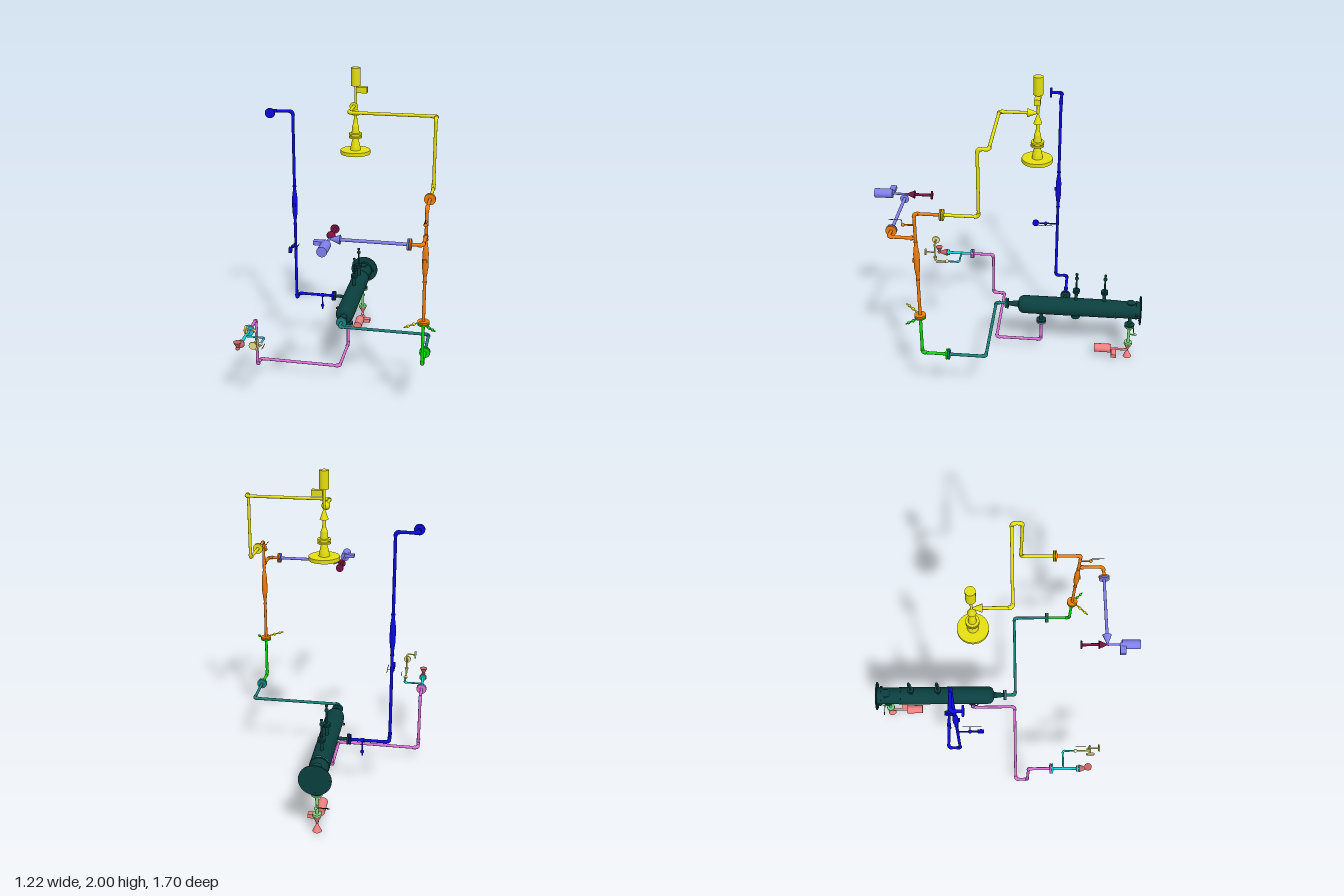
import * as THREE from 'three';

const V = (p) => new THREE.Vector3(...p);
const COLORS = {
  vessel: 0x0b3f3f, teal: 0x1a7f7a, green: 0x08d808, orange: 0xf07c0a, yellow: 0xe6e010,
  blue: 0x0a0add, pink: 0xda70d6, cyan: 0x20d0d8, violet: 0x8080ee, wine: 0x7a1040,
  salmon: 0xf08080, red: 0xc86464, lightGreen: 0x80d880, pale: 0xe8de80, black: 0x151515,
};

export function createModel() {
  const root = new THREE.Group();
  root.name = 'pipingSkid';
  const mats = {};
  for (const key in COLORS) mats[key] = new THREE.MeshStandardMaterial({ color: COLORS[key] });
  let parent = root;
  const section = (name) => {
    parent = new THREE.Group();
    parent.name = name;
    root.add(parent);
  };
  const add = (name, geo, color) => {
    const mesh = new THREE.Mesh(geo, mats[color]);
    mesh.name = name;
    parent.add(mesh);
    return mesh;
  };
  // tapered cylinder running from a to b
  const rod = (name, a, b, r0, color, r1 = r0, sides = 20) => {
    const d = V(b).sub(V(a));
    const m = add(name, new THREE.CylinderGeometry(r1, r0, d.length(), sides), color);
    m.position.copy(V(a)).addScaledVector(d, 0.5);
    m.quaternion.setFromUnitVectors(new THREE.Vector3(0, 1, 0), d.normalize());
    return m;
  };
  const ball = (name, p, r, color) => add(name, new THREE.SphereGeometry(r, 16, 12), color).position.set(...p);
  const box = (name, p, s, color) => add(name, new THREE.BoxGeometry(...s), color).position.set(...p);
  // disc centred on p along an axis
  const disc = (name, p, axis, r, t, color) => {
    const a = [...p], b = [...p];
    a[axis] -= t / 2;
    b[axis] += t / 2;
    return rod(name, a, b, r, color, r, 28);
  };
  // two mating flanges, one on each side of p
  const joint = (p, axis, c0, c1, r = 0.033) => [c0, c1].forEach((c, i) => {
    const q = [...p];
    q[axis] += i ? 0.0065 : -0.0065;
    disc('flange', q, axis, r, 0.01, c);
  });
  // pipe run with thickened elbow fittings at the corners
  const pipe = (name, pts, color, r = 0.0095, bend = 0.022) => {
    const v = pts.map(V);
    let start = v[0];
    for (let i = 1; i < v.length; i++) {
      const inDir = v[i].clone().sub(v[i - 1]).normalize();
      if (i === v.length - 1) { rod(name, start.toArray(), v[i].toArray(), r, color); break; }
      const outDir = v[i + 1].clone().sub(v[i]).normalize();
      const e0 = v[i].clone().addScaledVector(inDir, -bend), e1 = v[i].clone().addScaledVector(outDir, bend);
      rod(name, start.toArray(), e0.toArray(), r, color);
      const curve = new THREE.QuadraticBezierCurve3(e0, v[i], e1);
      add('elbow', new THREE.TubeGeometry(curve, 8, r * 1.25, 14), color);
      [[e0, inDir], [e1, outDir]].forEach(([e, d]) => rod('elbowCollar',
        e.clone().addScaledVector(d, -0.003).toArray(), e.clone().addScaledVector(d, 0.003).toArray(), r * 1.3, color));
      start = e1;
    }
  };
  // inline meter: a swollen body between two reducers
  const meter = (x, y, z, side, color) => {
    const prof = [[0, -0.1], [0.011, -0.1], [0.018, -0.045], [0.018, 0.045], [0.011, 0.1], [0, 0.1]];
    add('meterBody', new THREE.LatheGeometry(prof.map((p) => new THREE.Vector2(...p)), 20), color).position.set(x, y, z);
    rod('meterPort', [x, y, z], [x, y, z + side], 0.012, color);
    [-0.135, 0.125].forEach((dy) => disc('meterCollar', [x, y + dy, z], 1, 0.0125, 0.008, color));
  };

  // horizontal vessel
  section('vessel');
  const VX = -0.05, VY = 0.38;
  const shell = [[0, 0.04], [0.025, 0.042], [0.045, 0.05], [0.056, 0.063], [0.06, 0.08], [0.06, 0.68]]
    .map(([r, z]) => new THREE.Vector2(r, -z)).reverse();
  const body = add('shell', new THREE.LatheGeometry(shell, 40), 'vessel');
  body.rotation.x = Math.PI / 2;
  body.position.set(VX, VY, 0);
  rod('channel', [VX, VY, -0.68], [VX, VY, -0.85], 0.057, 'vessel', 0.057, 40);
  disc('channelRing', [VX, VY, -0.69], 2, 0.061, 0.012, 'vessel');
  disc('channelRing', [VX, VY, -0.823], 2, 0.061, 0.01, 'vessel');
  disc('endFlange', [VX, VY, -0.849], 2, 0.097, 0.006, 'vessel');
  for (let i = 0; i < 12; i++) {
    const a = i * Math.PI / 6;
    disc('flangeBolt', [VX + 0.083 * Math.cos(a), VY + 0.083 * Math.sin(a), -0.847], 2, 0.005, 0.011, 'vessel');
  }
  [-1, 1].forEach((s) => box('sideLug', [VX + s * 0.064, VY, -0.823], [0.014, 0.012, 0.014], 'vessel'));
  const eye = add('liftingEye', new THREE.TorusGeometry(0.014, 0.004, 8, 16), 'vessel');
  eye.rotation.x = Math.PI / 2;
  eye.position.set(VX - 0.06, VY, -0.165);
  rod('supportPad', [VX, 0.3, -0.425], [VX, 0.34, -0.425], 0.029, 'vessel');
  disc('topPad', [VX, 0.437, -0.785], 1, 0.028, 0.008, 'vessel');
  [[-0.423, 0.605], [-0.608, 0.61]].forEach(([z, y]) => {
    rod('ventNozzle', [VX, 0.43, z], [VX, 0.52, z], 0.011, 'vessel');
    joint([VX, 0.508, z], 1, 'vessel', 'vessel', 0.023);
    rod('ventPipe', [VX, 0.51, z], [VX, 0.64, z], 0.006, 'vessel');
    ball('ventValve', [VX, y, z], 0.013, 'vessel');
    disc('ventCap', [VX, 0.636, z], 1, 0.009, 0.01, 'vessel');
  });
  rod('sideNozzle', [VX - 0.05, VY, -0.35], [-0.175, VY, -0.35], 0.011, 'vessel');
  rod('bottomNozzle', [VX, 0.335, -0.197], [VX, 0.26, -0.197], 0.012, 'vessel');
  rod('drainNozzle', [VX, 0.335, -0.785], [VX, 0.26, -0.785], 0.012, 'vessel');
  rod('frontNozzle', [VX, VY, -0.045], [VX, VY, 0.03], 0.022, 'vessel', 0.013);

  // outlet run, front nozzle to riser
  section('outletRun');
  joint([VX, VY, 0.034], 2, 'vessel', 'teal', 0.035);
  pipe('outletPipe', [[VX, VY, 0.03], [VX, VY, 0.106], [0.525, VY, 0.106], [0.525, VY, 0.34]], 'teal');
  joint([0.525, VY, 0.339], 2, 'teal', 'green');
  pipe('riserPipe', [[0.525, VY, 0.34], [0.525, VY, 0.498], [0.525, 0.655, 0.498]], 'green');
  joint([0.525, 0.657, 0.498], 1, 'green', 'orange', 0.035);
  [[0.425, 0.668, 0.6, 'yellow'], [0.6, 0.645, 0.572, 'green']].forEach(([x, y, z, c]) => {
    rod('tapPipe', [0.525, y, 0.498], [x, y, z], 0.0045, c, 0.0045, 10);
    ball('tapValve', [(0.525 + x) / 2, y, (0.498 + z) / 2], 0.01, c);
    ball('tapEnd', [0.525 + (x - 0.525) * 0.8, y, 0.498 + (z - 0.498) * 0.8], 0.009, c);
  });
  pipe('meterPipe', [[0.525, 0.66, 0.498], [0.525, 1.36, 0.498], [0.525, 1.36, 0.34]], 'orange');
  meter(0.525, 1.05, 0.498, 0.024, 'orange');
  rod('ventPipe', [0.525, 1.285, 0.498], [0.525, 1.285, 0.565], 0.005, 'orange');
  ball('ventValve', [0.525, 1.285, 0.565], 0.011, 'orange');
  rod('ventLever', [0.525, 1.285, 0.57], [0.525, 1.315, 0.57], 0.002, 'black', 0.002, 6);
  rod('ventLever', [0.525, 1.315, 0.57], [0.525, 1.315, 0.645], 0.002, 'black', 0.002, 6);
  joint([0.525, 1.36, 0.34], 2, 'yellow', 'orange');

  // overhead run ending in the motor valve and spray head
  section('overheadRun');
  const HX = 0.005, HY = 1.775, HZ = -0.156;
  pipe('overheadPipe', [[0.525, 1.36, 0.34], [0.525, 1.36, 0.132], [0.525, HY, 0.132], [0.525, HY, 0.07],
    [HX, HY, 0.07], [HX, HY, -0.095]], 'yellow');
  rod('valveInlet', [HX, HY, -0.095], [HX, HY, HZ], 0.026, 'yellow', 0.003);
  rod('valveOutlet', [HX, HY - 0.065, HZ], [HX, HY, HZ], 0.026, 'yellow', 0.003);
  rod('valveStem', [HX, HY, HZ], [HX, 1.9, HZ], 0.008, 'yellow');
  rod('motor', [HX, 1.89, HZ], [HX, 2, HZ], 0.029, 'yellow');
  box('gearBox', [0.045, 1.866, HZ], [0.066, 0.036, 0.036], 'yellow');
  const head = [[0, 1.465], [0.093, 1.465], [0.093, 1.488], [0.033, 1.489], [0.03, 1.51], [0.017, 1.565], [0.04, 1.565],
    [0.04, 1.576], [0.033, 1.577], [0.033, 1.583], [0.04, 1.584], [0.04, 1.595], [0.024, 1.596], [0.02, 1.64],
    [0.012, 1.66], [0.009, 1.715], [0, 1.715]].map((p) => new THREE.Vector2(...p));
  const g = new THREE.LatheGeometry(head, 32).toNonIndexed();
  g.computeVertexNormals();
  add('sprayHead', g, 'yellow').position.set(HX, 0, HZ);

  // branch to the three-way motor valve
  section('meterBranch');
  pipe('branchPipe', [[0.525, 1.2, 0.498], [0.525, 1.2, 0.653], [0.45, 1.2, 0.653]], 'orange');
  disc('branchCollar', [0.525, 1.2, 0.52], 2, 0.014, 0.012, 'orange');
  joint([0.45, 1.2, 0.653], 0, 'violet', 'orange');
  rod('valvePipe', [0.45, 1.2, 0.653], [0.06, 1.2, 0.653], 0.0095, 'violet');
  rod('valveInlet', [0.068, 1.2, 0.653], [HX, 1.2, 0.653], 0.028, 'violet', 0.003);
  rod('valveStem', [HX, 1.2, 0.653], [HX, 1.2, 0.75], 0.007, 'violet');
  rod('motor', [HX, 1.2, 0.74], [HX, 1.2, 0.852], 0.029, 'violet');
  box('gearBox', [-0.027, 1.212, 0.744], [0.07, 0.022, 0.036], 'violet');
  rod('valveOutlet', [HX, 1.2, 0.6], [HX, 1.2, 0.653], 0.026, 'wine', 0.003);
  rod('outletPipe', [HX, 1.2, 0.6], [HX, 1.2, 0.49], 0.009, 'wine');
  disc('outletFlange', [HX, 1.2, 0.494], 2, 0.026, 0.008, 'wine');

  // tall side riser
  section('sideRiser');
  joint([-0.178, VY, -0.35], 0, 'blue', 'vessel');
  pipe('sidePipe', [[-0.18, VY, -0.35], [-0.422, VY, -0.35], [-0.422, VY, -0.272], [-0.422, 1.685, -0.272],
    [-0.553, 1.685, -0.272], [-0.553, 1.685, -0.2]], 'blue');
  disc('openFlange', [-0.553, 1.685, -0.202], 2, 0.032, 0.012, 'blue');
  meter(-0.422, 1.06, -0.272, 0.026, 'blue');
  rod('gaugePipe', [-0.422, 0.793, -0.272], [-0.422, 0.793, -0.12], 0.005, 'blue');
  ball('gaugeValve', [-0.422, 0.793, -0.193], 0.012, 'blue');
  disc('gauge', [-0.422, 0.793, -0.125], 0, 0.021, 0.018, 'blue');
  rod('gaugeLever', [-0.422, 0.793, -0.193], [-0.39, 0.793, -0.193], 0.002, 'black', 0.002, 6);
  rod('gaugeLever', [-0.39, 0.793, -0.24], [-0.39, 0.793, -0.12], 0.002, 'black', 0.002, 6);
  rod('drainPipe', [-0.26, VY, -0.35], [-0.26, 0.275, -0.35], 0.005, 'blue');
  ball('drainValve', [-0.26, 0.3, -0.35], 0.012, 'blue');
  disc('drainCollar', [-0.26, VY, -0.35], 0, 0.013, 0.02, 'blue');

  // low run from the vessel bottom to the gauge station
  section('lowerRun');
  joint([VX, 0.255, -0.197], 1, 'pink', 'vessel');
  pipe('lowerPipe', [[VX, 0.26, -0.197], [VX, 0.096, -0.197], [VX, 0.096, 0.106], [-0.58, 0.096, 0.106],
    [-0.58, 0.096, 0.186], [-0.58, 0.422, 0.186], [-0.58, 0.422, 0.335]], 'pink');
  joint([-0.58, 0.422, 0.337], 2, 'pink', 'cyan');
  rod('stationPipe', [-0.58, 0.422, 0.337], [-0.58, 0.422, 0.52], 0.0095, 'cyan');
  disc('stationFlange', [-0.58, 0.422, 0.51], 2, 0.02, 0.014, 'cyan');
  rod('valveInlet', [-0.58, 0.422, 0.52], [-0.58, 0.422, 0.58], 0.026, 'red', 0.004);
  rod('valveOutlet', [-0.58, 0.465, 0.578], [-0.58, 0.422, 0.578], 0.025, 'red', 0.004);
  ball('valveBody', [-0.58, 0.422, 0.578], 0.013, 'red');
  pipe('gaugeFeed', [[-0.58, 0.422, 0.417], [-0.46, 0.422, 0.417], [-0.46, 0.422, 0.5]], 'cyan', 0.006, 0.014);
  ball('feedValve', [-0.46, 0.422, 0.503], 0.013, 'pale');
  rod('feedLever', [-0.43, 0.43, 0.505], [-0.43, 0.43, 0.575], 0.002, 'black', 0.002, 6);
  pipe('gaugePipe', [[-0.46, 0.422, 0.5], [-0.46, 0.422, 0.587], [-0.46, 0.56, 0.587], [-0.515, 0.56, 0.587]], 'pale', 0.005, 0.014);
  rod('gaugeCone', [-0.46, 0.455, 0.587], [-0.46, 0.425, 0.587], 0.014, 'pale', 0.004);
  disc('sideGauge', [-0.518, 0.56, 0.587], 0, 0.027, 0.01, 'pale');
  rod('gaugeArm', [-0.46, 0.492, 0.587], [-0.46, 0.492, 0.65], 0.005, 'pale');
  disc('frontGauge', [-0.46, 0.492, 0.654], 2, 0.024, 0.008, 'pale');

  // drain with motor valve under the rear end
  section('rearDrain');
  joint([VX, 0.255, -0.785], 1, 'lightGreen', 'vessel');
  rod('drainPipe', [VX, 0.26, -0.785], [VX, 0.1, -0.785], 0.0095, 'lightGreen');
  disc('drainFlange', [VX, 0.112, -0.785], 1, 0.026, 0.014, 'lightGreen');
  rod('drainTap', [VX, 0.18, -0.785], [VX, 0.18, -0.832], 0.005, 'lightGreen');
  ball('drainTapValve', [VX, 0.18, -0.828], 0.01, 'lightGreen');
  rod('drainLever', [VX, 0.18, -0.82], [VX - 0.078, 0.18, -0.82], 0.003, 'black', 0.003, 6);
  rod('valveInlet', [VX, 0.105, -0.785], [VX, 0.052, -0.785], 0.028, 'salmon', 0.003);
  rod('valveOutlet', [VX, 0, -0.785], [VX, 0.052, -0.785], 0.028, 'salmon', 0.003);
  rod('valveStem', [VX, 0.052, -0.785], [VX, 0.052, -0.66], 0.008, 'salmon');
  rod('motor', [VX, 0.055, -0.672], [VX, 0.055, -0.56], 0.029, 'salmon');
  box('gearBox', [-0.015, 0.042, -0.692], [0.07, 0.026, 0.036], 'salmon');

  return root;
}
